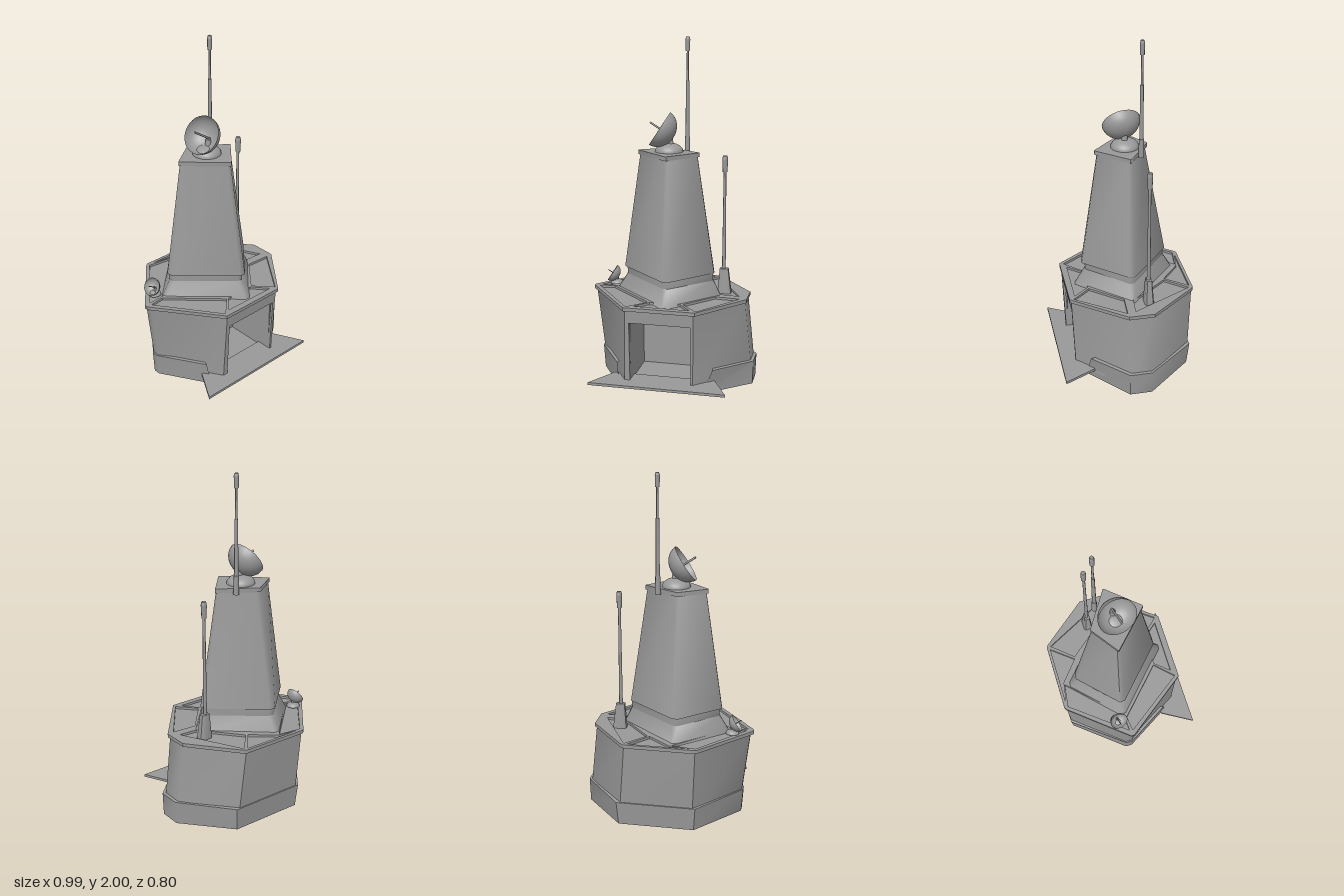
import * as THREE from 'three';
import { toCreasedNormals } from 'three/addons/utils/BufferGeometryUtils.js';

const grey = new THREE.MeshStandardMaterial({ color: 0x999999, side: THREE.DoubleSide });

function add(parent, name, geo) {
  const m = new THREE.Mesh(geo, grey);
  m.name = name;
  parent.add(m);
}

// Skin stacked convex [x, z] outlines; side 0 is the front and can be left open
function loft(rings, { openFront = false, top = true, crease = 0.84 } = {}) {
  const pos = [];
  const P = (r, i) => [r.pts[i % r.pts.length][0], r.y, r.pts[i % r.pts.length][1]];
  for (let k = 0; k + 1 < rings.length; k++) {
    const a = rings[k], b = rings[k + 1];
    for (let i = openFront ? 1 : 0; i < a.pts.length; i++) {
      pos.push(...P(a, i), ...P(a, i + 1), ...P(b, i + 1), ...P(a, i), ...P(b, i + 1), ...P(b, i));
    }
  }
  const lo = rings[0], hi = rings[rings.length - 1];
  for (let i = 1; i + 1 < lo.pts.length; i++) {
    pos.push(...P(lo, 0), ...P(lo, i + 1), ...P(lo, i));
    if (top) pos.push(...P(hi, 0), ...P(hi, i), ...P(hi, i + 1));
  }
  const g = new THREE.BufferGeometry();
  g.setAttribute('position', new THREE.Float32BufferAttribute(pos, 3));
  return toCreasedNormals(g, crease);
}

// Outline at height y with every corner cut
function ring(y, pts, t = 0.06) {
  const n = pts.length;
  const mix = (a, b) => [a[0] + (b[0] - a[0]) * t, a[1] + (b[1] - a[1]) * t];
  return { y, pts: pts.flatMap((p, i) => [mix(p, pts[(i + n - 1) % n]), mix(p, pts[(i + 1) % n])]) };
}

// Horizontal plate from [x, z] outlines
function plate(outline, holes, y, h) {
  const v = (p) => new THREE.Vector2(p[0], -p[1]);
  const s = new THREE.Shape(outline.map(v));
  s.holes = holes.map((o) => new THREE.Path(o.map(v)));
  return new THREE.ExtrudeGeometry(s, { depth: h, bevelEnabled: false }).rotateX(-Math.PI / 2).translate(0, y, 0);
}

const box = (x0, x1, y0, y1, z0, z1) => new THREE.BoxGeometry(x1 - x0, y1 - y0, z1 - z0)
  .translate((x0 + x1) / 2, (y0 + y1) / 2, (z0 + z1) / 2);

// Dish on a dome, facing left and up; origin at the dome's foot
function dishAssembly(name) {
  const g = new THREE.Group();
  g.name = name;
  add(g, 'dishDome', new THREE.SphereGeometry(0.082, 24, 8, 0, Math.PI * 2, 0, Math.PI / 2).scale(1, 0.62, 1));
  const dish = new THREE.Group();
  dish.name = 'dish';
  const profile = [];
  for (let i = 0; i <= 8; i++) {
    const a = (i / 8) * Math.PI / 2;
    profile.push(new THREE.Vector2(0.111 * Math.sin(a), -0.095 * Math.cos(a)));
  }
  add(dish, 'dishBowl', new THREE.LatheGeometry(profile, 28));
  add(dish, 'feedRod', new THREE.CylinderGeometry(0.006, 0.006, 0.155, 8).translate(0, -0.0125, 0));
  dish.position.set(-0.053, 0.133, 0.013);
  dish.quaternion.setFromUnitVectors(new THREE.Vector3(0, 1, 0), new THREE.Vector3(-0.83, 0.55, 0.12).normalize());
  g.add(dish);
  add(g, 'dishNeck', new THREE.CylinderGeometry(0.014, 0.02, 0.05, 12).translate(0.008, 0.06, 0.003));
  return g;
}

// Stepped rod of [y0, y1, radiusBottom, radiusTop] pieces
function antenna(name, x, z, parts) {
  const g = new THREE.Group();
  g.name = name;
  parts.forEach(([y0, y1, r0, r1], i) => add(g, 'antennaSection' + (i + 1),
    new THREE.CylinderGeometry(r1, r0, y1 - y0, 8).translate(0, (y0 + y1) / 2, 0)));
  g.position.set(x, 0, z);
  return g;
}

export function createModel() {
  const model = new THREE.Group();
  model.name = 'outpost';

  // Leaning hull with an open front side
  add(model, 'hull', loft([
    { y: 0.04, pts: [[-0.215, 0.31], [0.185, 0.31], [0.485, 0.03], [0.485, -0.09], [0.245, -0.362], [-0.18, -0.362], [-0.42, -0.07], [-0.42, -0.03]] },
    { y: 0.5, pts: [[-0.205, 0.33], [0.19, 0.33], [0.435, 0.03], [0.435, -0.1], [0.207, -0.387], [-0.2, -0.39], [-0.475, -0.07], [-0.475, -0.03]] },
  ], { openFront: true }));

  // Front wall with doorway, leaning with the hull
  const wall = new THREE.Shape([[-0.215, 0.04], [0.185, 0.04], [0.19, 0.5], [-0.205, 0.5]].map((p) => new THREE.Vector2(...p)));
  wall.holes.push(new THREE.Path([[-0.183, 0.055], [0.172, 0.055], [0.172, 0.42], [-0.183, 0.42]].map((p) => new THREE.Vector2(...p))));
  const wallGeo = new THREE.ExtrudeGeometry(wall, { depth: 0.015, bevelEnabled: false });
  const wp = wallGeo.attributes.position;
  for (let i = 0; i < wp.count; i++) wp.setZ(i, wp.getZ(i) + 0.295 + 0.02 * (wp.getY(i) - 0.04) / 0.46);
  wallGeo.computeVertexNormals();
  add(model, 'frontWall', wallGeo);

  // Room behind the doorway
  const room = new THREE.Group();
  room.name = 'room';
  add(room, 'roomFloor', box(-0.183, 0.172, 0.045, 0.055, -0.02, 0.3));
  add(room, 'roomCeiling', box(-0.183, 0.172, 0.42, 0.43, -0.02, 0.315));
  add(room, 'roomBack', box(-0.193, 0.182, 0.045, 0.43, -0.03, -0.02));
  for (const [x0, x1] of [[-0.193, -0.183], [0.172, 0.182]]) add(room, 'roomSide', box(x0, x1, 0.045, 0.43, -0.02, 0.3));
  model.add(room);

  // Skirt around the foot, open at the doorway
  add(model, 'skirt', loft([
    { y: 0, pts: [[-0.26, 0.255], [0.23, 0.255], [0.487, 0.04], [0.487, -0.09], [0.25, -0.36], [-0.19, -0.36], [-0.43, -0.07], [-0.43, -0.03]] },
    { y: 0.14, pts: [[-0.28, 0.235], [0.285, 0.235], [0.492, 0.04], [0.492, -0.09], [0.26, -0.373], [-0.2, -0.373], [-0.44, -0.07], [-0.44, -0.03]] },
    { y: 0.143, pts: [[-0.27, 0.2], [0.28, 0.2], [0.46, 0.03], [0.46, -0.09], [0.225, -0.36], [-0.18, -0.36], [-0.42, -0.07], [-0.42, -0.03]] },
  ], { openFront: true, top: false }));
  add(model, 'sill', box(-0.25, 0.225, 0, 0.043, 0.235, 0.253));
  add(model, 'entryPlatform', plate([[-0.3, 0.215], [-0.41, 0.4], [0.387, 0.4], [0.295, 0.215]], [], 0.055, 0.015));

  // Roof frame with sunken panels
  add(model, 'roofFrame', plate(
    [[-0.215, 0.338], [0.2, 0.34], [0.445, 0.04], [0.445, -0.11], [0.224, -0.385], [0.207, -0.395], [-0.2, -0.4], [-0.215, -0.39], [-0.493, -0.06], [-0.493, -0.04]],
    [
      [[-0.165, 0.3], [0.165, 0.305], [0.09, 0.215], [-0.09, 0.215]],
      [[0.2, 0.315], [0.405, 0.04], [0.26, 0.03], [0.105, 0.21]],
      [[-0.205, 0.315], [-0.1, 0.21], [-0.37, -0.05], [-0.46, -0.04]],
      [[-0.455, -0.06], [-0.35, -0.065], [-0.08, -0.335], [-0.06, -0.355], [-0.2, -0.375]],
      [[-0.17, -0.382], [0.19, -0.378], [0.085, -0.25], [-0.045, -0.36]],
      [[0.21, -0.37], [0.395, -0.01], [0.285, -0.02], [0.1, -0.245]],
    ], 0.493, 0.021));

  // Tower: plinth, collar, tapering shaft and cap (corners: front, right, back, left)
  const soft = { crease: 0.95 };
  const collar = [[0.005, 0.23], [0.253, -0.023], [-0.07, -0.288], [-0.306, -0.06]];
  const capPts = [[-0.01, 0.15], [0.152, -0.032], [-0.06, -0.17], [-0.222, -0.057]];
  add(model, 'towerPlinth', loft([
    ring(0.5, [[0.01, 0.291], [0.3, -0.02], [-0.07, -0.345], [-0.365, -0.063]], 0.04), ring(0.6, collar),
  ], soft));
  add(model, 'towerCollar', loft([ring(0.6, collar), ring(0.645, collar)], soft));
  add(model, 'towerShaft', loft([
    ring(0.645, [[0.008, 0.253], [0.26, -0.023], [-0.07, -0.3], [-0.322, -0.06]]),
    ring(1.33, [[-0.01, 0.142], [0.148, -0.032], [-0.058, -0.16], [-0.216, -0.055]]),
  ], soft));
  add(model, 'towerCap', loft([ring(1.325, capPts, 0.02), ring(1.35, capPts, 0.02)]));

  // Dishes
  const big = dishAssembly('towerDish');
  big.position.set(-0.03, 1.35, -0.033);
  model.add(big);
  const small = dishAssembly('roofDish');
  small.scale.setScalar(0.48);
  small.position.set(-0.375, 0.514, -0.115);
  model.add(small);

  // Antennas
  model.add(antenna('towerAntenna', 0.062, -0.108, [
    [1.32, 1.43, 0.017, 0.014], [1.43, 1.75, 0.012, 0.01], [1.75, 1.93, 0.007, 0.006], [1.92, 1.985, 0.013, 0.014], [1.985, 2, 0.014, 0.01],
  ]));
  model.add(antenna('roofAntenna', 0.285, -0.107, [
    [0.63, 1.24, 0.011, 0.008], [1.23, 1.305, 0.014, 0.017], [1.305, 1.325, 0.017, 0.013],
  ]));
  add(model, 'antennaFoot', loft([
    ring(0.495, [[0.252, -0.08], [0.331, -0.08], [0.331, -0.134], [0.252, -0.134]], 0.15),
    ring(0.65, [[0.262, -0.09], [0.312, -0.09], [0.312, -0.124], [0.262, -0.124]], 0.15),
  ]));

  return model;
}
